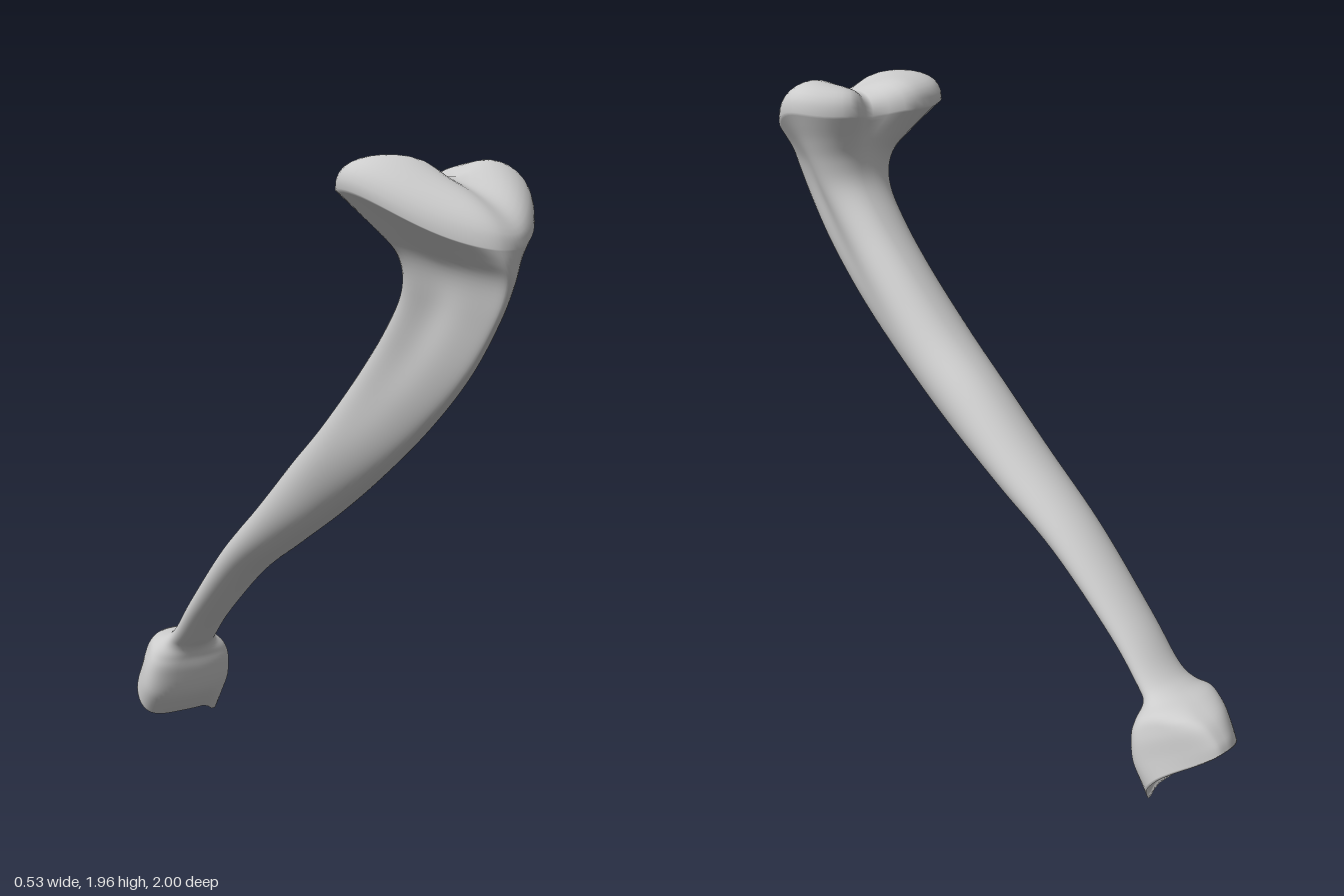
import * as THREE from 'three';

const SEG = 64;   // points around each cross-section
const STEPS = 6;  // rings between two key sections
const CAP = 12;   // rings in each end surface

// Key sections: front z, front y, back z, back y, min x, max x,
// taper (+ narrows to the front, - boxy and narrows to the back),
// then, where needed: side lift, side hollow, rear notch
const ankleRows = [
  [-0.79, 0.03, -1.0, 0.235, -0.155, 0.19, -2.5, 0.035],
  [-0.735, 0.11, -0.985, 0.268, -0.158, 0.195, -2.2, 0.015],
  [-0.717, 0.2, -0.94, 0.312, -0.147, 0.19, -1.4],
  [-0.715, 0.255, -0.87, 0.334, -0.125, 0.17, -0.6],
  [-0.705, 0.29, -0.8, 0.344, -0.085, 0.122, -0.1],
];
const shaftRows = [
  [-0.67, 0.325, -0.735, 0.385, -0.07, 0.107, 0],
  [-0.55, 0.44, -0.625, 0.51, -0.07, 0.105, 0],
  [-0.32, 0.63, -0.4, 0.735, -0.075, 0.12, 0],
  [-0.09, 0.765, -0.17, 0.92, -0.08, 0.138, 0.1],
  [0.14, 0.895, 0.02, 1.085, -0.08, 0.147, 0.2],
  [0.36, 1.03, 0.2, 1.225, -0.085, 0.15, 0.35],
  [0.6, 1.2, 0.37, 1.39, -0.072, 0.15, 0.5, 0, 0.08],
];
const headRows = [
  [0.8, 1.37, 0.5, 1.525, -0.07, 0.15, 0.65, 0, 0.2],
  [0.93, 1.53, 0.58, 1.63, -0.08, 0.162, 0.75, 0, 0.28],
  [0.98, 1.63, 0.59, 1.72, -0.11, 0.187, 0.75, 0.01, 0.25, 0.05],
  [0.995, 1.68, 0.555, 1.8, -0.185, 0.22, 0.7, 0.03, 0.12, 0.18],
  [1.0, 1.72, 0.505, 1.88, -0.27, 0.265, 0.6, 0.06, 0, 0.3],
];
const rows = [...ankleRows, ...shaftRows, ...headRows].map((r) => [...r, 0, 0, 0].slice(0, 10));

const bell = (x, centre, width) => Math.exp(-(((x - centre) / width) ** 2));

// Smooth interpolation of all section values
function sectionAt(t) {
  const last = rows.length - 1;
  const i = Math.min(Math.floor(t), last - 1);
  const f = t - i;
  const [p, a, b, n] = [i - 1, i, i + 1, i + 2].map((k) => rows[Math.max(0, Math.min(last, k))]);
  return a.map((v, c) => {
    const m0 = (b[c] - p[c]) / 2;
    const m1 = (n[c] - v) / 2;
    const d = b[c] - v;
    return v + f * (m0 + f * (3 * d - 2 * m0 - m1 + f * (m0 + m1 - 2 * d)));
  });
}

// One closed cross-section, starting at the front and turning towards +x
function makeRing([fz, fy, bz, by, x0, x1, taper, lift, hollow, notch]) {
  const power = 2 / (2 + Math.min(1, Math.max(0, -taper)));
  const bend = (v) => Math.sign(v) * Math.abs(v) ** power;
  const outline = Array.from({ length: SEG }, (_, i) => {
    const a = (i / SEG) * Math.PI * 2;
    const u = bend(Math.cos(a));
    const narrowing = (1 - (taper * (1 + u)) / 2) * (1 - hollow * bell(u, 0, 0.45));
    return [u, bend(Math.sin(a)) * narrowing];
  });
  const widest = Math.max(...outline.map((p) => p[1]));
  const lean = 0.04 * Math.min(1, Math.abs(taper));
  return outline.map(([u, width]) => {
    const w = width / widest;
    const x = (x0 + x1) / 2 + (w * (x1 - x0)) / 2 - lean * u * (1 - Math.abs(w));
    const v = u + 1.1 * notch * bell(x, 0.03, 0.065) * Math.max(0, -u);
    const y = (fy + by) / 2 + (v * (fy - by)) / 2 + lift * w * w * (1 - u * u);
    const z = (fz + bz) / 2 + (v * (fz - bz)) / 2 + 0.5 * notch * x;
    // small pointed tip on the inner side of the ankle
    const low = THREE.MathUtils.clamp((0.12 - y) / 0.07, 0, 1);
    return new THREE.Vector3(x, y - 0.035 * low * bell(x, 0.15, 0.03), z);
  });
}

// Rings shrinking from a rim to its centre, displaced by a rule
function capRings(rim, centre, displace) {
  return Array.from({ length: CAP }, (_, j) => {
    const a = ((j + 1) / CAP) * Math.PI / 2;
    const s = j === CAP - 1 ? 0 : Math.cos(a);
    return rim.map((p) => displace(centre.clone().lerp(p, s), Math.sin(a)));
  });
}

// Closed skin over the rings, standing on the ground
function loft(rings) {
  const positions = rings.flatMap((ring) => ring.flatMap((p) => p.toArray()));
  const index = [];
  for (let j = 0; j < rings.length - 1; j++) {
    for (let i = 0; i < SEG; i++) {
      const a = j * SEG + i;
      const b = j * SEG + ((i + 1) % SEG);
      index.push(a, b, a + SEG, b, b + SEG, a + SEG);
    }
  }
  const geometry = new THREE.BufferGeometry();
  geometry.setAttribute('position', new THREE.Float32BufferAttribute(positions, 3));
  geometry.setIndex(index);
  geometry.computeBoundingBox();
  geometry.translate(0, -geometry.boundingBox.min.y, 0);
  geometry.computeVertexNormals();
  return geometry;
}

export function createModel() {
  const body = [];
  const count = (rows.length - 1) * STEPS;
  for (let j = 0; j <= count; j++) body.push(makeRing(sectionAt(j / STEPS)));

  // Hollow joint surface under the ankle
  const socket = capRings(body[0], new THREE.Vector3(0.03, 0.145, -0.875), (p, h) => {
    const depth = 0.045 * h;
    return p.add(new THREE.Vector3(0, depth * 0.73, depth * 0.68));
  }).reverse();

  // Two rounded lobes with a shallow valley on the knee end
  const plateau = capRings(body[count], new THREE.Vector3(0, 1.815, 0.735), (p, h) => {
    p.y += h ** 0.8 * (0.14 - 0.045 * bell(p.x, 0.03, 0.08));
    return p;
  });

  const material = new THREE.MeshStandardMaterial({ color: 0xcccccc });
  const bone = new THREE.Mesh(loft([...socket, ...body, ...plateau]), material);
  bone.name = 'shinBone';
  const group = new THREE.Group();
  group.name = 'shinBoneModel';
  group.add(bone);
  return group;
}
